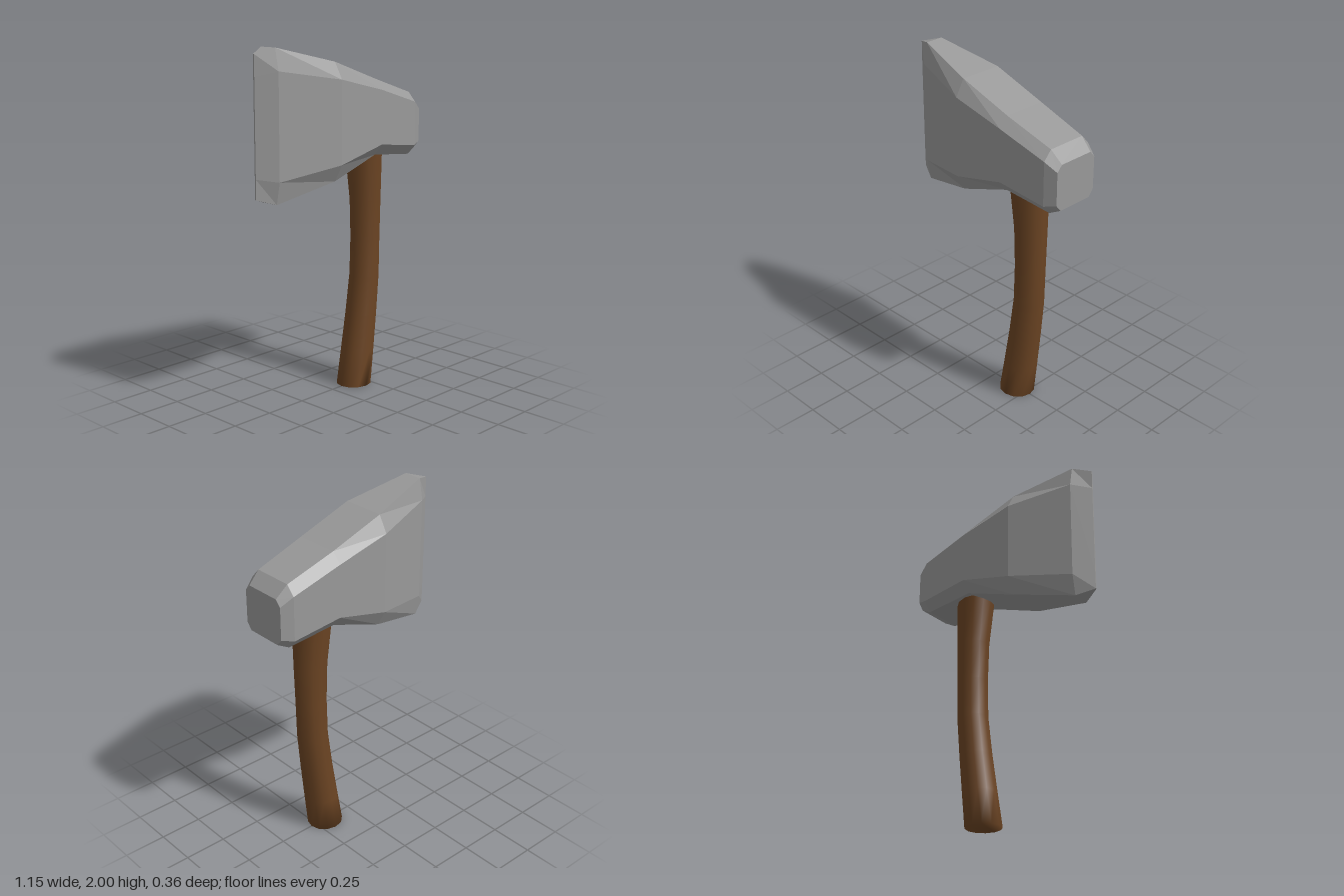
import * as THREE from 'three';

// Skin a list of equal-length rings and close both ends.
function loft(rings) {
  const n = rings[0].length;
  const last = (rings.length - 1) * n;
  const index = [];
  for (let i = 0; i < rings.length - 1; i++) {
    for (let j = 0; j < n; j++) {
      const a = i * n + j, b = i * n + (j + 1) % n;
      index.push(a, b, b + n, a, b + n, a + n);
    }
  }
  for (let j = 1; j < n - 1; j++) {
    index.push(0, j + 1, j);
    index.push(last, last + j, last + j + 1);
  }
  const geometry = new THREE.BufferGeometry();
  geometry.setAttribute('position', new THREE.Float32BufferAttribute(rings.flat(2), 3));
  geometry.setIndex(index);
  geometry.computeVertexNormals();
  return geometry;
}

export function createModel() {
  const steel = new THREE.MeshStandardMaterial({ color: 0x999999, flatShading: true });
  steel.name = 'steel grey';
  const wood = new THREE.MeshStandardMaterial({ color: 0x6b4423 });
  wood.name = 'wood brown';

  // Axe head: chamfered sections from the cutting edge to the poll
  // [x, top, upper chamfer, lower chamfer, bottom, half width, half width of top]
  const headSections = [
    [-0.578, 1.97, 1.855, 1.32, 1.21, 0.004, 0.003],
    [-0.477, 2.0, 1.88, 1.3, 1.177, 0.078, 0.054],
    [-0.113, 1.912, 1.82, 1.36, 1.265, 0.18, 0.127],
    [0.21, 1.8, 1.742, 1.438, 1.375, 0.18, 0.127],
    [0.507, 1.705, 1.652, 1.4, 1.345, 0.166, 0.117],
    [0.575, 1.64, 1.605, 1.418, 1.38, 0.14, 0.108],
  ];
  const headRings = headSections.map(([x, top, up, low, bottom, w, inner]) => [
    [x, top, -inner], [x, top, inner], [x, up, w], [x, low, w],
    [x, bottom, inner], [x, bottom, -inner], [x, low, -w], [x, up, -w],
  ]);
  const head = new THREE.Mesh(loft(headRings), steel);
  head.name = 'axeHead';

  // Curved handle: oval sections [y, left edge, right edge, half depth]
  const handleSections = [
    [0, 0.075, 0.285, 0.1],
    [0.2, 0.11, 0.307, 0.097],
    [0.42, 0.146, 0.331, 0.092],
    [0.65, 0.176, 0.353, 0.087],
    [0.87, 0.181, 0.359, 0.085],
    [1.1, 0.174, 0.365, 0.089],
    [1.37, 0.142, 0.367, 0.104],
    [1.43, 0.135, 0.368, 0.106],
  ];
  const sides = 12;
  const handleRings = handleSections.map(([y, x0, x1, depth]) =>
    Array.from({ length: sides }, (_, j) => {
      const t = (j / sides) * Math.PI * 2;
      return [(x0 + x1) / 2 + Math.sin(t) * (x1 - x0) / 2, y, Math.cos(t) * depth];
    }));
  const handle = new THREE.Mesh(loft(handleRings), wood);
  handle.name = 'handle';

  const axe = new THREE.Group();
  axe.name = 'axe';
  axe.add(head, handle);
  return axe;
}
